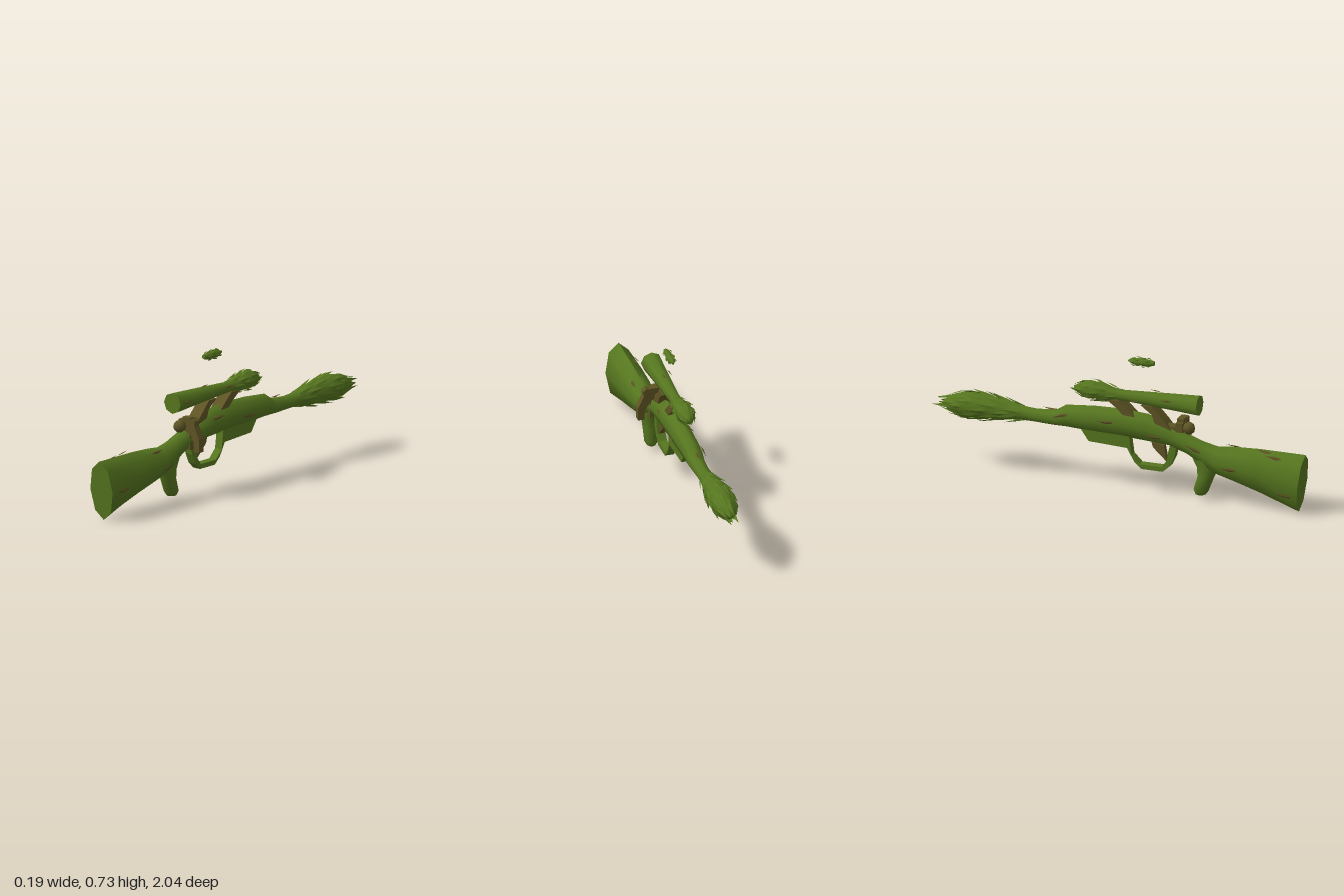
import * as THREE from 'three';
import { toCreasedNormals } from 'three/addons/utils/BufferGeometryUtils.js';

const CX = -0.013, SIDES = 8;

const mat = (name, color) => {
  const m = new THREE.MeshStandardMaterial({ color, side: THREE.DoubleSide });
  m.name = name;
  return m;
};

// Point on a lofted body; a section is [z, centreY, radiusY, radiusX, slant]
function ringPoint(s, a, lift = 0) {
  const c = Math.cos(a), n = Math.sin(a);
  return [(s[3] + lift) * c, s[1] + (s[2] + lift) * n, s[0] + (s[4] || 0) * n];
}

// Section interpolated at any z
function sectionAt(sections, z) {
  const last = sections.length - 1;
  let i = 0;
  while (i < last - 1 && sections[i + 1][0] > z) i++;
  const a = sections[i], b = sections[i + 1];
  const t = THREE.MathUtils.clamp((a[0] - z) / (a[0] - b[0]), 0, 1);
  const s = [0, 1, 2, 3].map(k => a[k] + (b[k] - a[k]) * t);
  s[0] = z;
  return s;
}

// Closed eight-sided body running towards -z
function loft(sections) {
  const pos = [], idx = [], n = sections.length;
  for (const s of sections)
    for (let k = 0; k < SIDES; k++) pos.push(...ringPoint(s, k / SIDES * Math.PI * 2));
  pos.push(0, sections[0][1], sections[0][0], 0, sections[n - 1][1], sections[n - 1][0]);
  for (let k = 0; k < SIDES; k++) {
    const k2 = (k + 1) % SIDES, e = (n - 1) * SIDES;
    for (let i = 0; i < n - 1; i++) {
      const o = i * SIDES;
      idx.push(o + k, o + SIDES + k, o + k2, o + k2, o + SIDES + k, o + SIDES + k2);
    }
    idx.push(n * SIDES, k, k2, n * SIDES + 1, e + k2, e + k);
  }
  const g = new THREE.BufferGeometry();
  g.setAttribute('position', new THREE.Float32BufferAttribute(pos, 3));
  g.setIndex(idx);
  return toCreasedNormals(g, Math.PI / 3);
}

// Pointed scales hugging a body: list of [z, angle, length, width, tip lift]
function scales(sections, list) {
  const pos = [];
  for (const [z, a, len, width, lift] of list) {
    const p = (dz, side, up) => {
      const s = sectionAt(sections, z - dz * len);
      const r = Math.hypot(s[3] * Math.sin(a), s[2] * Math.cos(a)) + 0.012;
      return ringPoint(s, a + side * width / 2 / r, up);
    };
    const b1 = p(0, -0.55, 0.001), b2 = p(0, 0.55, 0.001);
    const m1 = p(0.4, -1, 0.004), m2 = p(0.4, 1, 0.004);
    const c = p(0.35, 0, 0.008), t = p(1, 0, lift);
    for (const tri of [[b1, c, b2], [b1, m1, c], [b2, c, m2], [m1, t, c], [c, t, m2]]) pos.push(...tri.flat());
  }
  const g = new THREE.BufferGeometry();
  g.setAttribute('position', new THREE.Float32BufferAttribute(pos, 3));
  g.computeVertexNormals();
  return g;
}

// Staggered rows of scales covering a bud
function budRows(z0, z1, rows, count, len, width, lift) {
  const list = [];
  for (let r = 0; r < rows; r++)
    for (let k = 0; k < count; k++) {
      const jitter = Math.sin(r * 12.9 + k * 78.2);
      list.push([z0 + (z1 - z0) * r / (rows - 1) + jitter * len * 0.15,
        (k + r / 2 + jitter * 0.12) / count * Math.PI * 2, len, width, lift]);
    }
  return list;
}

// Plate with a (z, y) outline, extruded across x
function sidePlate(points, width) {
  const shape = new THREE.Shape(points.map(p => new THREE.Vector2(...p)));
  return new THREE.ExtrudeGeometry(shape, { depth: width, bevelEnabled: false })
    .rotateY(-Math.PI / 2).translate(width / 2, 0, 0);
}

export function createModel() {
  const green = mat('stalk green', 0x56761f), brown = mat('scale brown', 0x5e5424);
  const model = new THREE.Group();
  model.name = 'asparagusRifle';
  const add = (name, geo, m) => {
    const mesh = new THREE.Mesh(geo, m);
    mesh.name = name;
    mesh.position.x = CX;
    model.add(mesh);
    return mesh;
  };

  // Stock, receiver and barrel as one stalk
  const stalk = [
    [0.982, 0.16, 0.158, 0.075, 0.018], [0.75, 0.198, 0.12, 0.075], [0.62, 0.215, 0.097, 0.073],
    [0.52, 0.224, 0.078, 0.062], [0.43, 0.26, 0.062, 0.05], [0.36, 0.292, 0.055, 0.048],
    [0.26, 0.33, 0.058, 0.05], [0.14, 0.355, 0.075, 0.053], [0, 0.364, 0.076, 0.053],
    [-0.15, 0.364, 0.072, 0.052], [-0.31, 0.361, 0.06, 0.05], [-0.365, 0.343, 0.042, 0.045],
    [-0.48, 0.341, 0.036, 0.038], [-0.58, 0.345, 0.04, 0.04]];
  add('stockAndBarrel', loft(stalk), green);

  // Bud at the muzzle
  const bud = [
    [-0.54, 0.344, 0.036, 0.037], [-0.64, 0.348, 0.052, 0.05], [-0.74, 0.352, 0.064, 0.062],
    [-0.82, 0.353, 0.07, 0.068], [-0.9, 0.35, 0.058, 0.056], [-0.95, 0.347, 0.036, 0.035],
    [-0.985, 0.345, 0.008, 0.008]];
  add('muzzleBud', loft(bud), green);
  add('muzzleBudScales', scales(bud, budRows(-0.55, -0.9, 7, 7, 0.12, 0.036, 0.016)), green);

  // Pistol grip, lofted along y and turned downwards
  add('grip', loft([
    [0.24, -0.45, 0.08, 0.045], [0.17, -0.462, 0.057, 0.042], [0.12, -0.452, 0.044, 0.038],
    [0.05, -0.428, 0.041, 0.036], [0.028, -0.425, 0.028, 0.024]]).rotateX(-Math.PI / 2), green);

  // Trigger guard with its front plate, and trigger
  add('triggerGuard', sidePlate([
    [0.3, 0.28], [0.29, 0.22], [0.265, 0.165], [0.225, 0.13], [0.11, 0.13], [0.07, 0.165],
    [0.03, 0.235], [-0.18, 0.245], [-0.225, 0.31], [0.04, 0.31], [0.055, 0.2], [0.1, 0.155],
    [0.22, 0.155], [0.245, 0.19], [0.265, 0.28]], 0.045), green);
  add('trigger', sidePlate([[0.245, 0.185], [0.23, 0.27], [0.16, 0.29], [0.17, 0.255]], 0.03), brown);

  // Scope with bud, and its two slanted mounts
  const scope = [
    [0.42, 0.512, 0.055, 0.056], [0.3, 0.513, 0.048, 0.048], [0.14, 0.514, 0.038, 0.038],
    [0, 0.514, 0.03, 0.03], [-0.06, 0.516, 0.036, 0.036], [-0.14, 0.522, 0.048, 0.048],
    [-0.2, 0.523, 0.044, 0.044], [-0.245, 0.522, 0.024, 0.024], [-0.265, 0.522, 0.006, 0.006]];
  add('scope', loft(scope), green);
  add('scopeBudScales', scales(scope, budRows(-0.03, -0.2, 5, 6, 0.075, 0.028, 0.012)), green);
  add('rearScopeMount', sidePlate([[0.28, 0.36], [0.24, 0.41], [0.17, 0.485], [0.11, 0.485], [0.17, 0.44], [0.2, 0.36]], 0.07), brown);
  add('frontScopeMount', sidePlate([[0.08, 0.41], [0.05, 0.44], [-0.01, 0.495], [-0.075, 0.49], [-0.02, 0.45], [0.02, 0.41]], 0.07), brown);

  // Bolt: round knob at the back, shaft and bent handle
  add('boltKnob', new THREE.SphereGeometry(0.033, 8, 6).translate(0, 0.38, 0.362), brown);
  add('boltShaft', new THREE.CylinderGeometry(0.022, 0.022, 0.12, 8).rotateX(Math.PI / 2).translate(0, 0.375, 0.29), brown);
  const handle = new THREE.Shape([
    [-0.03, 0.36], [-0.03, 0.41], [0.02, 0.405], [0.063, 0.426], [0.08, 0.412], [0.077, 0.385],
    [0.108, 0.32], [0.108, 0.25], [0.075, 0.25], [0.072, 0.3], [0.04, 0.355]].map(p => new THREE.Vector2(...p)));
  add('boltHandle', new THREE.ExtrudeGeometry(handle, { depth: 0.038, bevelEnabled: false }).translate(0, 0, 0.298), brown);
  add('boltCollar', new THREE.BoxGeometry(0.05, 0.17, 0.036).translate(0.02, 0.34, 0.316), brown);

  // Brown scales scattered along the stalk and scope
  const spots = [
    [0.93, -0.1], [0.63, 0.95], [0.55, -0.35], [0.15, 0.4], [-0.09, -0.2], [0.88, 2.2],
    [0.94, 3.6], [0.64, 3.2], [0.44, 2.9], [0.22, 3.4], [-0.04, 3.0], [-0.29, 2.8], [0.82, 1.9], [-0.36, 1.6]];
  add('stalkScales', scales(stalk, spots.map(([z, a]) => [z, a, 0.08, 0.021, 0.014])), brown);
  const scopeSpots = [[0.39, 0.1], [0.28, 2.8], [0.2, 1.4], [0.1, 3.5], [0.03, 0.4]];
  add('scopeScales', scales(scope, scopeSpots.map(([z, a]) => [z, a, 0.055, 0.014, 0.01])), brown);

  // Small spear floating above the scope
  const spear = [
    [0.172, 0.71, 0.012, 0.012], [0.15, 0.71, 0.017, 0.017], [0.1, 0.709, 0.02, 0.02],
    [0.06, 0.71, 0.018, 0.018], [0.03, 0.71, 0.004, 0.004]];
  add('floatingSpear', loft(spear), green);
  add('floatingSpearScales', scales(spear, budRows(0.155, 0.07, 4, 5, 0.036, 0.014, 0.006)), green);
  return model;
}
